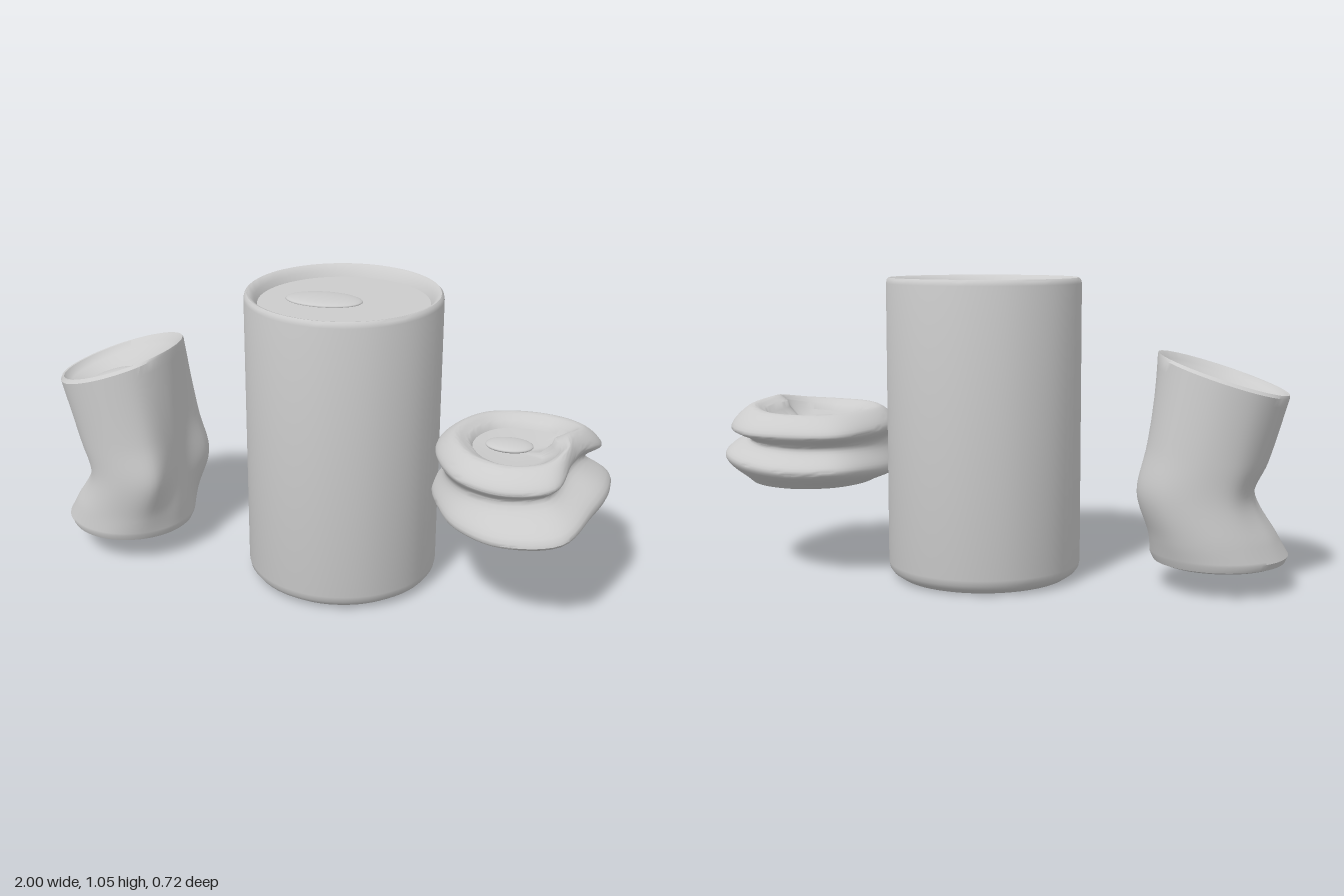
import * as THREE from 'three';
import { toCreasedNormals } from 'three/addons/utils/BufferGeometryUtils.js';

const SEG = 72;
const material = new THREE.MeshStandardMaterial({ color: 0xcccccc, side: THREE.DoubleSide });

// Closed horizontal ring round (cx, cz). radii and heights are a number or a list
// spaced evenly from +x towards +z; slope tilts the ring along x.
function ring(cx, cz, radii, heights, slope = 0) {
  const n = Array.isArray(radii) ? radii.length : 12;
  const at = (v, i) => (Array.isArray(v) ? v[i] : v);
  const points = [];
  for (let i = 0; i < n; i++) {
    const a = (i / n) * Math.PI * 2;
    const dx = Math.cos(a) * at(radii, i);
    points.push(new THREE.Vector3(cx + dx, at(heights, i) + dx * slope, cz + Math.sin(a) * at(radii, i)));
  }
  const curve = new THREE.CatmullRomCurve3(points, true, 'catmullrom', 0.5);
  return Array.from({ length: SEG }, (_, i) => curve.getPoint(i / SEG));
}

// Extra rings along smooth curves through the given ones
function smoothRings(rings, steps) {
  const count = (rings.length - 1) * steps;
  const curves = rings[0].map((_, j) => new THREE.CatmullRomCurve3(rings.map((r) => r[j]), false, 'centripetal'));
  return Array.from({ length: count + 1 }, (_, i) => curves.map((c) => c.getPoint(i / count)));
}

// Skin over rings listed from the base centre to the lid centre
function loft(name, rings, crease) {
  const index = [];
  for (let i = 0; i < rings.length - 1; i++) {
    for (let j = 0; j < SEG; j++) {
      const k = (j + 1) % SEG;
      const a = i * SEG + j, b = i * SEG + k, c = a + SEG, d = b + SEG;
      index.push(a, c, b, b, c, d);
    }
  }
  const geometry = new THREE.BufferGeometry().setFromPoints(rings.flat());
  geometry.setIndex(index);
  const mesh = new THREE.Mesh(toCreasedNormals(geometry, crease), material);
  mesh.name = name;
  return mesh;
}

// Flattened oval on the lid
function lidOval(x, y, z, rx, rz, tilt = 0) {
  const mesh = new THREE.Mesh(new THREE.SphereGeometry(1, 40, 16), material);
  mesh.name = 'lidOval';
  mesh.scale.set(rx, 0.015, rz);
  mesh.position.set(x, y, z);
  mesh.rotation.z = tilt;
  return mesh;
}

function assembly(name, ...parts) {
  const group = new THREE.Group();
  group.name = name;
  group.add(...parts);
  return group;
}

function intactCan() {
  const profile = [
    [0, 0.06], [0.12, 0.052], [0.22, 0.03], [0.27, 0.006], [0.285, 0], [0.3, 0.003], [0.325, 0.02],
    [0.336, 0.035], [0.34, 0.055], [0.34, 1.03], [0.337, 1.043], [0.33, 1.05], [0.322, 1.048],
    [0.305, 1.03], [0.295, 1.01], [0, 1.01],
  ];
  const rings = profile.map(([r, y]) => ring(0.06, -0.03, r, y));
  return assembly('intactCan', loft('intactBody', rings, 0.7), lidOval(-0.01, 1.012, -0.03, 0.135, 0.08));
}

function bentCan() {
  const z = -0.035;
  const waist = [0.17, 0.175, 0.25, 0.245, 0.235, 0.2, 0.18, 0.2, 0.235, 0.24, 0.25, 0.237];
  const upper = [0.18, 0.19, 0.235, 0.24, 0.235, 0.215, 0.205, 0.215, 0.235, 0.24, 0.242, 0.222];
  const body = smoothRings([
    ring(-0.765, z, 0.235, 0.12),
    ring(-0.745, z, [0.215, 0.22, 0.24, 0.235, 0.235, 0.225, 0.215, 0.225, 0.235, 0.24, 0.245, 0.235], 0.19, 0.02),
    ring(-0.7, z, waist, 0.33, 0.03),
    ring(-0.72, z, upper, 0.47, 0.16),
    ring(-0.77, z, [0.222, 0.222, 0.235, 0.238, 0.235, 0.225, 0.22, 0.225, 0.235, 0.238, 0.235, 0.225], 0.725, 0.318),
  ], 8);
  const base = [[0, 0.13], [0.13, 0.12], [0.19, 0.095], [0.205, 0.09], [0.225, 0.098]]
    .map(([r, y]) => ring(-0.765, z, r, y));
  // rim and sunken lid, tilted with the top
  const lid = [[0.22, 0.735], [0.213, 0.733], [0.2, 0.715], [0.185, 0.705], [0.14, 0.685], [0.08, 0.66], [0, 0.65]]
    .map(([r, y]) => ring(-0.77, z, r, y, 0.318));
  return assembly('bentCan', loft('bentBody', [...base, ...body, ...lid], 0.7),
    lidOval(-0.81, 0.655, -0.045, 0.092, 0.058, 0.31));
}

function crushedCan() {
  const r = (radii, heights) => ring(0.68, -0.02, radii, heights);
  const bottom = [0.24, 0.24, 0.25, 0.22, 0.21, 0.2, 0.2, 0.21, 0.23, 0.24, 0.24, 0.24];
  const lowLip = [0.315, 0.32, 0.39, 0.368, 0.325, 0.29, 0.292, 0.3, 0.34, 0.335, 0.33, 0.335];
  const lowLipY = [0.435, 0.42, 0.375, 0.358, 0.36, 0.37, 0.37, 0.38, 0.39, 0.39, 0.4, 0.42];
  const pinch = [0.2, 0.2, 0.27, 0.28, 0.27, 0.255, 0.25, 0.26, 0.28, 0.28, 0.275, 0.25];
  const pinchY = [0.525, 0.52, 0.49, 0.475, 0.47, 0.465, 0.465, 0.465, 0.465, 0.465, 0.475, 0.495];
  const topLip = [0.22, 0.22, 0.31, 0.312, 0.3, 0.28, 0.285, 0.3, 0.34, 0.325, 0.33, 0.31];
  const topLipY = [0.565, 0.56, 0.53, 0.517, 0.52, 0.525, 0.525, 0.52, 0.515, 0.515, 0.515, 0.525];
  const crest = [0.17, 0.2, 0.235, 0.24, 0.23, 0.22, 0.225, 0.23, 0.25, 0.25, 0.25, 0.235];
  const crestY = [0.615, 0.608, 0.59, 0.582, 0.582, 0.583, 0.583, 0.583, 0.58, 0.58, 0.585, 0.6];
  const hole = [0.12, 0.17, 0.19, 0.19, 0.18, 0.165, 0.17, 0.18, 0.2, 0.2, 0.2, 0.185];
  const scaled = (list, s) => list.map((v) => v * s);
  const lowered = (d) => crestY.map((v) => v - d);

  const base = [r(0, 0.37), r(scaled(bottom, 0.5), 0.36), r(scaled(bottom, 0.9), 0.325)];
  const body = smoothRings([
    r(bottom, 0.32), r(lowLip, lowLipY), r(pinch, pinchY), r(topLip, topLipY), r(crest, crestY),
    r(hole, lowered(0.018)),
  ], 8);
  const lid = [r(scaled(hole, 0.93), lowered(0.04)), r(scaled(hole, 0.6), 0.535), r(0, 0.53)];
  return assembly('crushedCan', loft('crushedBody', [...base, ...body, ...lid], 0.8),
    lidOval(0.645, 0.54, -0.05, 0.083, 0.06));
}

export function createModel() {
  return assembly('cans', intactCan(), bentCan(), crushedCan());
}
